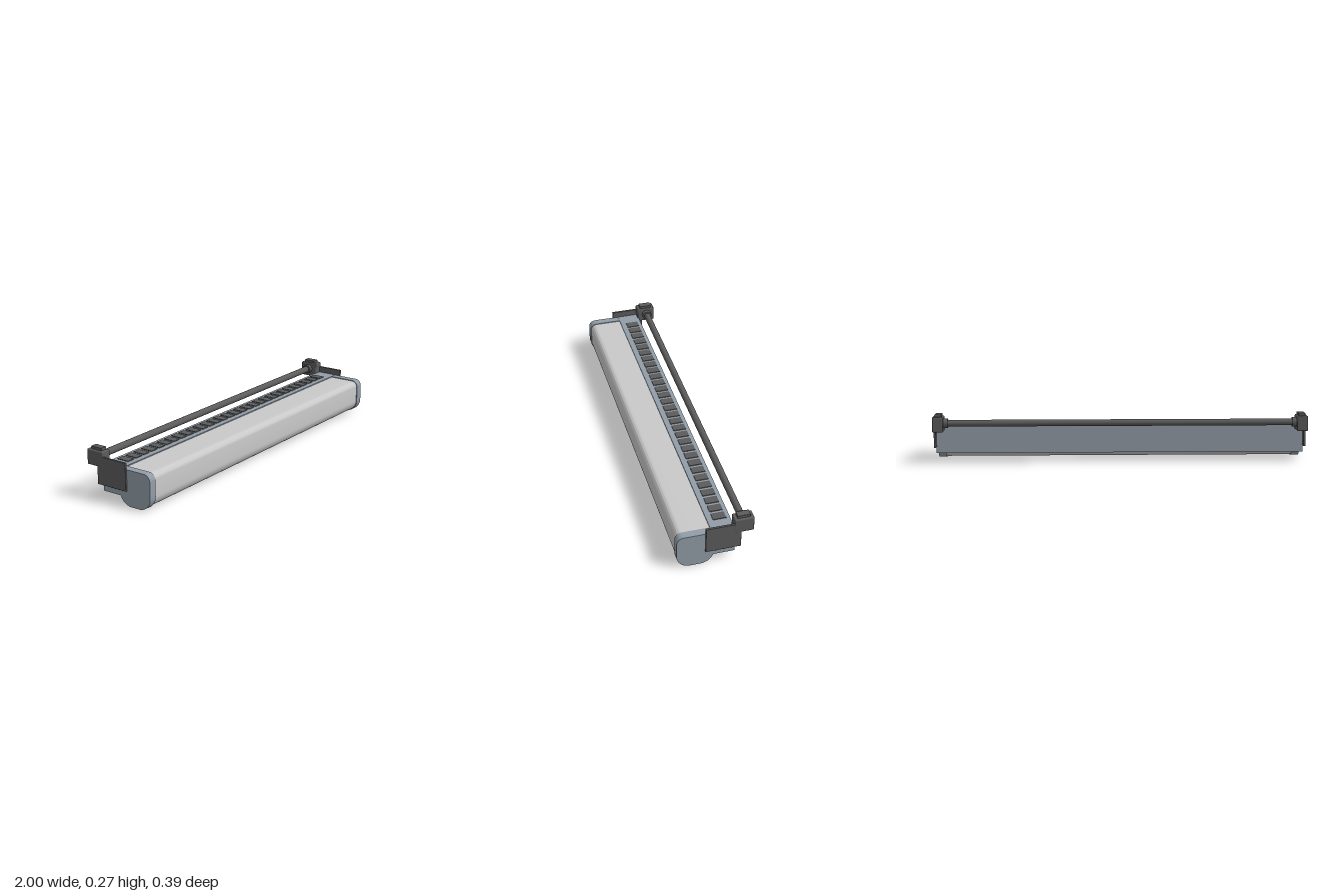
import * as THREE from 'three';
import { toCreasedNormals } from 'three/addons/utils/BufferGeometryUtils.js';
import { RoundedBoxGeometry } from 'three/addons/geometries/RoundedBoxGeometry.js';

const mat = (name, color) => {
  const m = new THREE.MeshStandardMaterial({ color });
  m.name = name;
  return m;
};

// Rounded housing section (drawn in z, y), shrunk by an inset
function housingProfile(inset) {
  const f = 0.196 - inset, b = 0.006 + inset, lo = inset, hi = 0.19 - inset;
  const rt = 0.036 - inset, rb = 0.07 - inset;
  const s = new THREE.Shape();
  s.moveTo(b, hi);
  s.lineTo(b, lo + rb);
  s.absarc(b + rb, lo + rb, rb, Math.PI, Math.PI * 1.5, false);
  s.absarc(f - rb, lo + rb, rb, Math.PI * 1.5, Math.PI * 2, false);
  s.absarc(f - rt, hi - rt, rt, 0, Math.PI / 2, false);
  s.closePath();
  return s;
}

// Extrude a (z, y) section along x between x0 and x1
function extrudeX(shape, x0, x1) {
  const g = new THREE.ExtrudeGeometry(shape, { depth: x1 - x0, bevelEnabled: false, curveSegments: 12 });
  g.rotateY(-Math.PI / 2); // shape x -> z, depth -> -x
  g.translate(x1, 0, 0);
  return toCreasedNormals(g, 0.6);
}

export function createModel() {
  const root = new THREE.Group();
  root.name = 'barUnit';
  const shell = mat('light grey shell', 0xc9c9c9);
  const blue = mat('blue grey casing', 0x929da8);
  const dark = mat('dark grey fittings', 0x5c5c5c);

  const add = (name, geo, m, x, y, z) => {
    const mesh = new THREE.Mesh(geo, m);
    mesh.name = name;
    mesh.position.set(x, y, z);
    root.add(mesh);
    return mesh;
  };

  // Long rounded front shell
  add('frontShell', extrudeX(housingProfile(0.004), -0.95, 0.95), shell, 0, 0, 0);

  // Rear casing
  add('rearCasing', new THREE.BoxGeometry(1.976, 0.145, 0.118), blue, 0, 0.1185, -0.041);

  // Row of vents on the casing's top
  const ventGeo = new THREE.BoxGeometry(0.045, 0.006, 0.068);
  for (let i = 0; i < 30; i++) add('vent', ventGeo, dark, -0.882 + i * 0.0608, 0.192, -0.046);

  // Rear rod
  const rod = add('rod', new THREE.CylinderGeometry(0.018, 0.018, 1.9, 24), dark, 0, 0.214, -0.147);
  rod.rotation.z = Math.PI / 2;

  // Mirrored end fittings
  for (const s of [-1, 1]) {
    const x0 = s > 0 ? 0.948 : -0.99;
    add('endCap', extrudeX(housingProfile(0), x0, x0 + 0.042), blue, 0, 0, 0);
    add('sidePlate', new RoundedBoxGeometry(0.012, 0.147, 0.181, 2, 0.002), dark, s * 0.993, 0.1515, -0.0395);
    add('rodBlock', new RoundedBoxGeometry(0.057, 0.081, 0.1, 3, 0.006), dark, s * 0.9715, 0.2105, -0.144);
    add('blockKnob', new RoundedBoxGeometry(0.037, 0.024, 0.067, 2, 0.003), dark, s * 0.969, 0.2535, -0.1435);
    const collar = add('rodCollar', new THREE.CylinderGeometry(0.026, 0.026, 0.03, 24), dark, s * 0.935, 0.214, -0.147);
    collar.rotation.z = Math.PI / 2;
  }
  return root;
}
